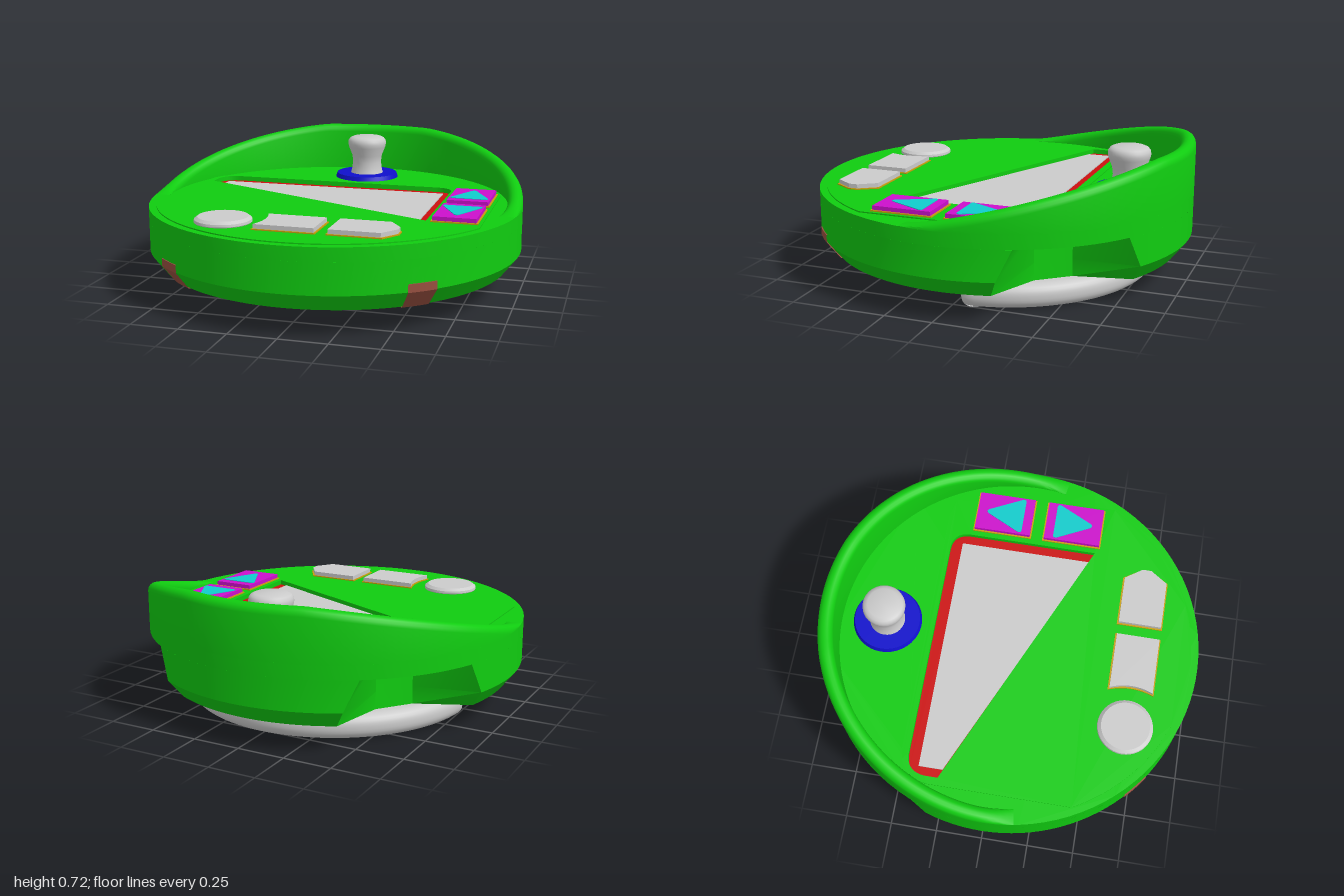
import * as THREE from 'three';
import { toCreasedNormals } from 'three/addons/utils/BufferGeometryUtils.js';

const mat = (color) => new THREE.MeshStandardMaterial({ color, side: THREE.DoubleSide });
const GREEN = mat(0x10cc10), RED = mat(0xcc1010), GREY = mat(0xcccccc), MAGENTA = mat(0xcc10cc);
const TEAL = mat(0x10cccc), BLUE = mat(0x1010cc), YELLOW = mat(0xc8a010), BROWN = mat(0x995040);
const rad = THREE.MathUtils.degToRad;

export function createModel() {
  const model = new THREE.Group();

  const add = (name, geometry, material, x = 0, y = 0, z = 0) => {
    const mesh = new THREE.Mesh(toCreasedNormals(geometry, 0.6), material);
    mesh.name = name;
    mesh.position.set(x, y, z);
    model.add(mesh);
    return mesh;
  };

  // Shape from plan points [x, z]
  const plan = (pts) => new THREE.Shape(pts.map(([x, z]) => new THREE.Vector2(x, -z)));

  // Upright slab of a plan shape between two heights; the bevel shrinks the top, not the outline
  const slab = (shape, y0, y1, bevel = 0, segments = 2) => {
    const g = new THREE.ExtrudeGeometry(shape, {
      depth: y1 - y0 - 2 * bevel, bevelEnabled: bevel > 0, bevelSize: bevel, bevelOffset: -bevel,
      bevelThickness: bevel, bevelSegments: segments, curveSegments: 48,
    });
    return g.rotateX(-Math.PI / 2).translate(0, y0 + bevel, 0);
  };

  // Skin through a list of equally long cross-sections
  const loft = (rings, closed) => {
    const pos = [];
    const n = rings[0].length;
    for (let k = 0; k + 1 < rings.length; k++) {
      for (let i = 0; i < (closed ? n : n - 1); i++) {
        const j = (i + 1) % n;
        const [a, b, c, d] = [rings[k][i], rings[k][j], rings[k + 1][j], rings[k + 1][i]];
        for (const p of [a, b, c, a, c, d]) pos.push(p.x, p.y, p.z);
      }
    }
    const g = new THREE.BufferGeometry();
    g.setAttribute('position', new THREE.Float32BufferAttribute(pos, 3));
    return g;
  };
  const polar = (r, deg, y) => new THREE.Vector3(r * Math.cos(rad(deg)), y, -r * Math.sin(rad(deg)));

  // Lower body with a chamfered foot and two deep notches at the back
  const outline = (r, half, y) => {
    const pts = [];
    const arc = (from, to, n) => {
      for (let i = 0; i <= n; i++) pts.push(polar(r, from + (to - from) * i / n, y));
    };
    const pocket = (deg) => {
      for (const side of [-0.1, 0.1]) pts.push(polar(Math.hypot(0.72, side), deg + Math.atan2(side, 0.72) * 180 / Math.PI, y));
    };
    arc(141 + half, 399 - half, 72);
    pocket(39);
    arc(39 + half, 141 - half, 24);
    pocket(141);
    return pts;
  };
  const rings = [outline(0.93, 23, 0.13), outline(1, 21.5, 0.22), outline(1, 17, 0.38)];
  add('lowerBody', loft(rings, true), GREEN);
  const floor = new THREE.Shape(rings[0].map((p) => new THREE.Vector2(p.x, p.z)));
  add('bodyFloor', new THREE.ShapeGeometry(floor).rotateX(Math.PI / 2), GREEN, 0, 0.13, 0);

  // Screen opening: rounded top corners, slanted lower edge
  const opening = (Path) => {
    const p = new Path();
    p.moveTo(-0.81, 0.25);
    p.lineTo(-0.81, 0.32);
    p.quadraticCurveTo(-0.8, 0.42, -0.7, 0.42);
    p.lineTo(0.47, 0.42);
    p.quadraticCurveTo(0.57, 0.42, 0.57, 0.32);
    p.lineTo(0.57, -0.37);
    p.closePath();
    return p;
  };

  // Deck, with a slightly raised panel over its front part
  const deck = new THREE.Shape().absarc(0, 0, 1, 0, Math.PI * 2);
  deck.holes.push(opening(THREE.Path));
  add('deck', slab(deck, 0.38, 0.452), GREEN);

  const panel = new THREE.Shape();
  const corner = Math.acos(0.85 / 0.96);
  panel.moveTo(0.85, -0.45);
  panel.lineTo(0.85, 0.3);
  panel.quadraticCurveTo(0.83, 0.46, 0.66, 0.46);
  panel.lineTo(-0.66, 0.46);
  panel.quadraticCurveTo(-0.83, 0.46, -0.85, 0.3);
  panel.lineTo(-0.85, -0.45);
  panel.absarc(0, 0, 0.96, Math.PI + corner, Math.PI * 2 - corner, false);
  panel.holes.push(opening(THREE.Path));
  add('frontPanel', slab(panel, 0.45, 0.458), GREEN);

  // Recessed screen in its frame
  add('screenFrame', slab(opening(THREE.Shape), 0.4, 0.432), RED);
  add('screen', slab(plan([[-0.76, -0.36], [-0.76, -0.235], [0.52, 0.345], [0.52, -0.36]]), 0.42, 0.438), GREY);

  // Rim rising toward the back, with a rounded top
  const rim = [];
  for (let deg = -10; deg <= 190; deg += 2) {
    const z = -Math.sin(rad(deg));
    const t = THREE.MathUtils.clamp((0.174 - z) / 1.12, 0, 1);
    const h = 0.002 + 0.262 * Math.pow(t, 1.1);
    const cap = Math.min(h, 0.04);
    const section = [polar(0.92, deg, 0.45)];
    for (let i = 0; i <= 8; i++) {
      const a = Math.PI * (1 - i / 8);
      section.push(polar(0.96 + 0.04 * Math.cos(a), deg, 0.453 + h - cap + cap * Math.sin(a)));
    }
    section.push(polar(1, deg, 0.45));
    rim.push(section);
  }
  add('backRim', loft(rim, false), GREEN);

  // Joystick
  add('joystickRing', new THREE.CylinderGeometry(0.175, 0.185, 0.025, 40), BLUE, 0, 0.463, -0.675);
  const stick = [[0.1, 0.46], [0.09, 0.49], [0.083, 0.54], [0.088, 0.58], [0.108, 0.63], [0.112, 0.65],
    [0.11, 0.668], [0.1, 0.682], [0.082, 0.69], [0, 0.69]];
  add('joystick', new THREE.LatheGeometry(stick.map(([r, y]) => new THREE.Vector2(r, y)), 32), GREY, 0, 0, -0.675);

  // Arrow keys on the right, mirrored about their middle
  for (const s of [-1, 1]) {
    const z = 0.04 + s * 0.193;
    const name = s < 0 ? 'upKey' : 'downKey';
    const box = (w, d) => plan([[-w, -d], [-w, d], [w, d], [w, -d]]);
    add(name + 'Base', slab(box(0.118, 0.162), 0.45, 0.465), YELLOW, 0.715, 0, z);
    add(name, slab(box(0.11, 0.154), 0.45, 0.486), MAGENTA, 0.715, 0, z);
    const arrow = new THREE.Shape();
    arrow.moveTo(-0.085, -0.105);
    arrow.lineTo(0.085, -0.105);
    arrow.quadraticCurveTo(0.107, -0.105, 0.097, -0.08);
    arrow.lineTo(0.013, 0.09);
    arrow.quadraticCurveTo(0, 0.11, -0.013, 0.09);
    arrow.lineTo(-0.097, -0.08);
    arrow.quadraticCurveTo(-0.107, -0.105, -0.085, -0.105);
    add(name + 'Arrow', slab(arrow, 0.48, 0.489), TEAL, 0.715, 0, z).rotation.y = s > 0 ? Math.PI : 0;
  }

  // Front row: round button, concave button, pointed button
  const round = [[0.14, 0.45], [0.146, 0.462], [0.144, 0.474], [0.127, 0.487], [0, 0.487]];
  add('roundButton', new THREE.LatheGeometry(round.map(([r, y]) => new THREE.Vector2(r, y)), 40), GREY, -0.39, 0, 0.662);

  const concave = (e) => {
    const s = new THREE.Shape();
    s.moveTo(-0.192 - e, -0.78 - e);
    s.lineTo(0.113 + e, -0.78 - e);
    s.lineTo(0.113 + e, -0.552 + e);
    s.lineTo(-0.192 - e, -0.552 + e);
    s.quadraticCurveTo(-0.145 - e, -0.666, -0.192 - e, -0.78 - e);
    return s;
  };
  const pointed = (e) => plan([[0.182 - e, 0.552 - e], [0.182 - e, 0.78 + e], [0.44 + e, 0.78 + e],
    [0.502 + e, 0.69], [0.502 + e, 0.642], [0.44 + e, 0.552 - e]]);
  for (const [name, shape] of [['concaveButton', concave], ['pointedButton', pointed]]) {
    add(name + 'Base', slab(shape(0.008), 0.45, 0.464), YELLOW);
    add(name, slab(shape(0), 0.45, 0.486), GREY);
  }

  // Corner feet wrapped over the front lower edge
  const foot = [[0.85, 0.126], [0.933, 0.126], [1.005, 0.219], [1.005, 0.26], [0.99, 0.26]];
  for (const s of [-1, 1]) {
    const g = new THREE.LatheGeometry(foot.map(([r, y]) => new THREE.Vector2(r, y)), 6, rad(s * 39.8 - 4.4), rad(8.8));
    add(s > 0 ? 'leftFoot' : 'rightFoot', g, BROWN);
  }

  // Rounded horseshoe underneath
  const shoe = new THREE.Shape();
  shoe.moveTo(0.772, 0.06);
  shoe.absarc(0, 0.02, 0.782, 0.1, Math.PI - 0.1, false);
  shoe.quadraticCurveTo(-0.77, 0.04, -0.7, 0.05);
  shoe.lineTo(-0.4, 0.09);
  shoe.bezierCurveTo(-0.24, 0.11, -0.2, 0.2, -0.25, 0.34);
  shoe.bezierCurveTo(-0.28, 0.46, -0.15, 0.54, 0, 0.54);
  shoe.bezierCurveTo(0.15, 0.54, 0.28, 0.46, 0.25, 0.34);
  shoe.bezierCurveTo(0.2, 0.2, 0.24, 0.11, 0.4, 0.09);
  shoe.lineTo(0.7, 0.05);
  shoe.quadraticCurveTo(0.77, 0.04, 0.772, 0.06);
  add('horseshoeBase', slab(shoe, 0, 0.125, 0.055, 6), GREY);

  return model;
}
